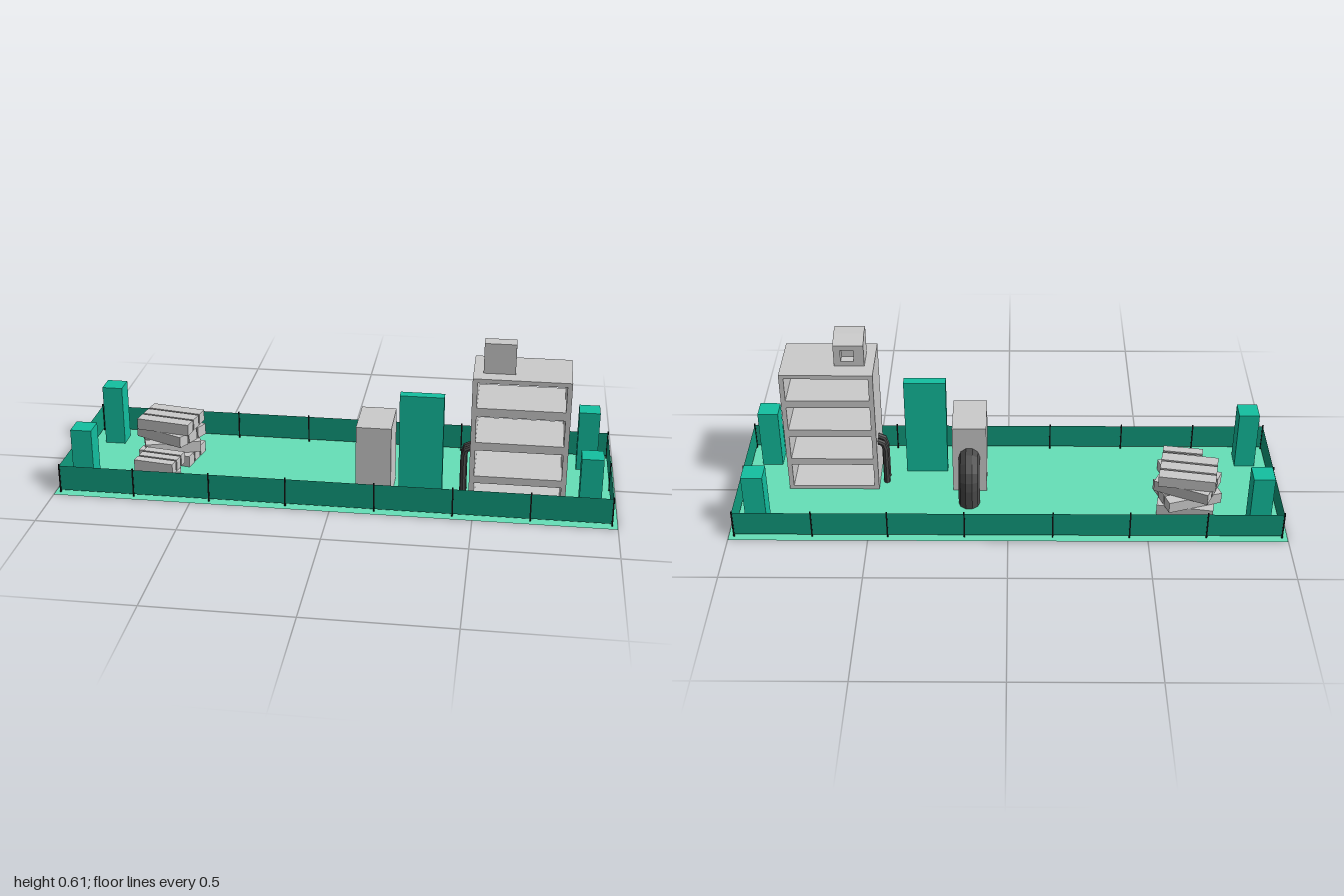
import * as THREE from 'three';

const mat = (color, extra = {}) => new THREE.MeshStandardMaterial({ color, ...extra });

export function createModel() {
  const root = new THREE.Group();
  const grey = mat(0xcccccc);
  const teal = mat(0x13c0a0);
  const fenceGreen = mat(0x109d7e, { side: THREE.DoubleSide });
  const floorGreen = mat(0x66e0b8, { side: THREE.DoubleSide });
  const black = mat(0x111111);
  const rubber = mat(0x4a4a4a, { flatShading: true, side: THREE.DoubleSide });

  const add = (name, geo, material, parent = root) => {
    const mesh = new THREE.Mesh(geo, material);
    mesh.name = name;
    parent.add(mesh);
    return mesh;
  };
  // Box given by its low and high limits on each axis
  const box = (name, material, [x0, x1], [y0, y1], [z0, z1], parent = root) => {
    const mesh = add(name, new THREE.BoxGeometry(x1 - x0, y1 - y0, z1 - z0), material, parent);
    mesh.position.set((x0 + x1) / 2, (y0 + y1) / 2, (z0 + z1) / 2);
    return mesh;
  };
  const group = (name) => {
    const g = new THREE.Group();
    g.name = name;
    root.add(g);
    return g;
  };

  // Ground sheet
  add('ground', new THREE.PlaneGeometry(2, 0.594).rotateX(-Math.PI / 2), floorGreen);

  // Fence sheets with thin black posts
  const fence = group('fence');
  const FX = 0.98, FZ = 0.275;
  for (const s of [-1, 1]) {
    add('fenceLong', new THREE.PlaneGeometry(2 * FX, 0.095), fenceGreen, fence).position.set(0, 0.0575, s * FZ);
    const end = add('fenceEnd', new THREE.PlaneGeometry(2 * FZ, 0.095).rotateY(Math.PI / 2), fenceGreen, fence);
    end.position.set(s * FX, 0.0575, 0);
  }
  const post = (x, z) => {
    const p = add('fencePost', new THREE.BoxGeometry(0.005, 0.11, 0.005), black, fence);
    p.position.set(x, 0.056, z);
  };
  for (const x of [-FX, -0.71, -0.435, -0.16, 0.155, 0.43, 0.7, FX]) {
    for (const z of [-FZ, FZ]) post(x, z);
  }
  post(-FX, 0);
  post(FX, 0);

  // Corner pillars
  for (const sx of [-1, 1]) for (const sz of [-1, 1]) {
    const p = add('cornerPillar', new THREE.BoxGeometry(0.076, 0.23, 0.077), teal);
    p.position.set(sx * 0.902, 0.116, sz * 0.2);
  }

  // Shelf rack, open at the front and back
  const rack = group('shelfRack');
  const rackZ = [0.008, 0.228];
  box('rackSide', grey, [0.482, 0.499], [0.001, 0.502], rackZ, rack);
  box('rackSide', grey, [0.8, 0.817], [0.001, 0.502], rackZ, rack);
  const boards = [[0.001, 0.016], [0.112, 0.139], [0.237, 0.267], [0.364, 0.395], [0.487, 0.502]];
  for (const y of boards) box('rackBoard', grey, [0.499, 0.8], y, rackZ, rack);

  // Unit on top of the rack: sloped at the back, with a recessed window
  const unit = group('topUnit');
  const slice = (x0, x1, back) => {
    const outline = [[0.172, 0.502], ...back, [0.074, 0.586], [0.12, 0.61], [0.172, 0.61]];
    const shape = new THREE.Shape(outline.map(([z, y]) => new THREE.Vector2(z, y)));
    const geo = new THREE.ExtrudeGeometry(shape, { depth: x1 - x0, bevelEnabled: false });
    add('topUnitSlice', geo.rotateY(-Math.PI / 2), grey, unit).position.x = x1;
  };
  const plain = [[0.074, 0.502]];
  slice(0.516, 0.553, plain);
  slice(0.553, 0.6, [...plain, [0.074, 0.52], [0.11, 0.52], [0.11, 0.566], [0.074, 0.566]]);
  slice(0.6, 0.625, plain);

  // Standing panel and cabinet
  box('standingPanel', teal, [0.23, 0.385], [0.001, 0.397], [0.122, 0.16]);
  box('cabinet', grey, [0.08, 0.205], [0.001, 0.28], [0.001, 0.187]);

  // Pipe that leaves a wall level, bends through a quarter turn and drops
  const bentPipe = (name, start, dir, bend, radius, sides) => {
    const path = new THREE.CurvePath();
    const corner = start.clone().addScaledVector(dir, bend);
    const drop = corner.clone().setY(start.y - bend);
    const k = 0.448;
    path.add(new THREE.CubicBezierCurve3(start, corner.clone().lerp(start, k),
      corner.clone().lerp(drop, k), drop));
    path.add(new THREE.LineCurve3(drop, drop.clone().setY(0.001)));
    add(name, new THREE.TubeGeometry(path, 8, radius, sides), rubber);
  };
  bentPipe('cabinetPipe', new THREE.Vector3(0.143, 0.155, 0.003), new THREE.Vector3(0, 0, -1), 0.078, 0.039, 10);
  for (const z of [0.057, 0.093]) {
    bentPipe('rackPipe', new THREE.Vector3(0.484, 0.185, z), new THREE.Vector3(-1, 0, 0), 0.028, 0.012, 8);
  }

  // Plank piles: each layer holds three planks and is turned by its own angle
  const pile = (name, x, z, length, width, angles) => {
    const g = group(name);
    g.position.set(x, 0.001, z);
    const h = 0.0425;
    angles.forEach((deg, i) => {
      const layer = new THREE.Group();
      layer.name = 'plankLayer';
      layer.position.y = h * (i + 0.5);
      layer.rotation.y = THREE.MathUtils.degToRad(deg);
      for (const k of [-1, 0, 1]) {
        add('plank', new THREE.BoxGeometry(length, h, width), grey, layer).position.z = k * (width + 0.008);
      }
      g.add(layer);
    });
  };
  pile('largePlankPile', -0.655, -0.082, 0.205, 0.046, [-10, 18, -25, -10]);
  pile('smallPlankPile', -0.655, 0.105, 0.15, 0.034, [16, -9]);

  return root;
}
